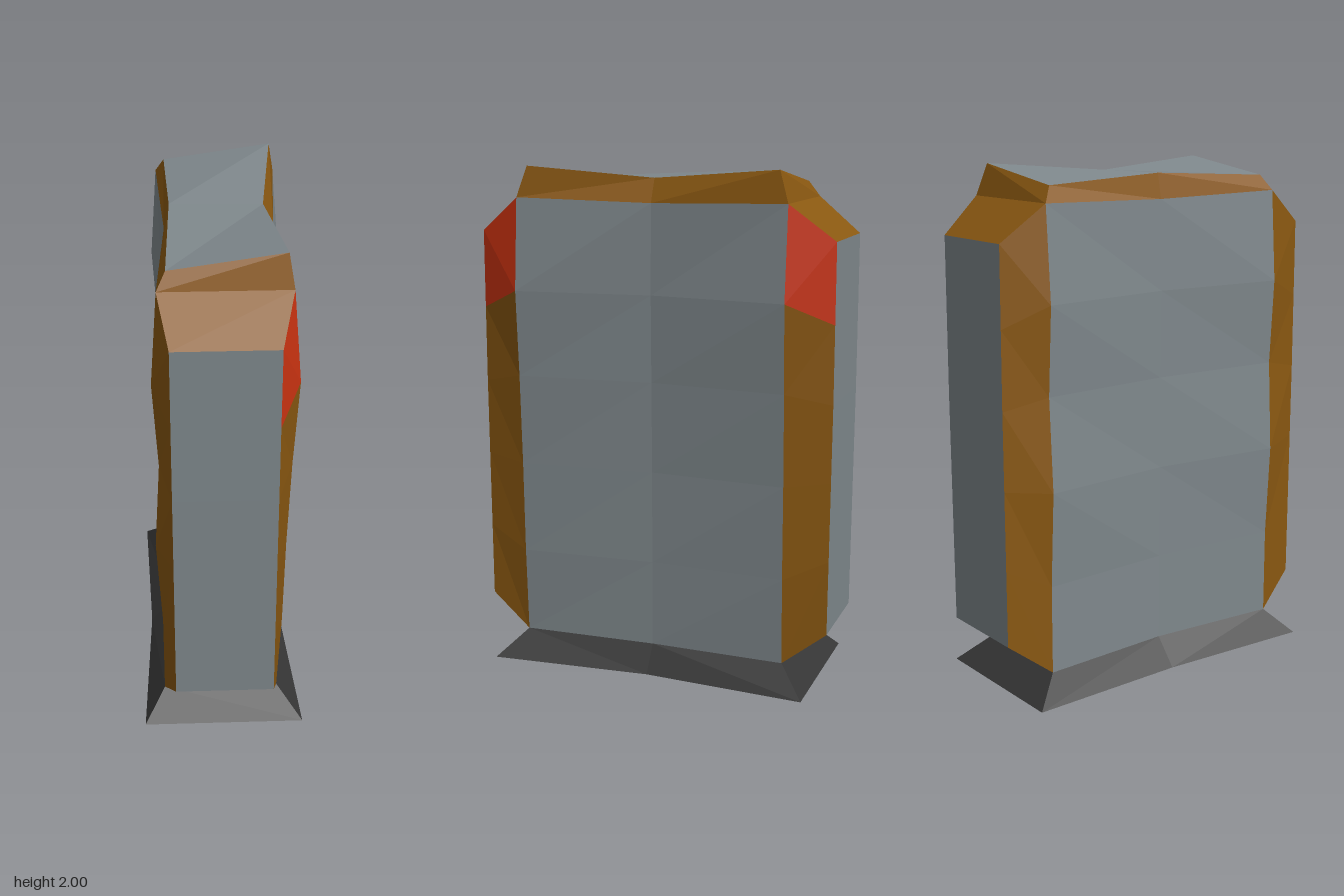
import * as THREE from 'three';

const material = (name, color) => {
  const m = new THREE.MeshStandardMaterial({ color, flatShading: true });
  m.name = name;
  return m;
};

// Faceted sheet through rows of points; every face is turned away from (0, centreY, 0)
function sheet(name, rows, mat, centreY = 1) {
  const out = [];
  const centre = new THREE.Vector3(0, centreY, 0);
  const triangle = (...p) => {
    const [a, b, c] = p.map((q) => new THREE.Vector3(...q));
    const normal = b.clone().sub(a).cross(c.clone().sub(a));
    const outward = a.clone().add(b).add(c).divideScalar(3).sub(centre);
    for (const v of normal.dot(outward) > 0 ? [a, b, c] : [a, c, b]) out.push(v.x, v.y, v.z);
  };
  for (let i = 0; i < rows.length - 1; i++) {
    for (let j = 0; j < rows[i].length - 1; j++) {
      const a = rows[i][j], b = rows[i][j + 1], c = rows[i + 1][j + 1], d = rows[i + 1][j];
      triangle(a, b, c);
      triangle(a, c, d);
    }
  }
  const geo = new THREE.BufferGeometry();
  geo.setAttribute('position', new THREE.Float32BufferAttribute(out, 3));
  geo.computeVertexNormals();
  const mesh = new THREE.Mesh(geo, mat);
  mesh.name = name;
  return mesh;
}

export function createModel() {
  const stone = material('grey stone', 0x7f888c);
  const trim = material('brown edge', 0x8a5811);
  const red = material('red marker', 0xcc3311);
  const dark = material('dark base', 0x363636);
  const group = new THREE.Group();
  group.name = 'slab';

  // Uneven side profiles: heights, then x of the left (+x) and right (-x) faces
  const innerY = [0.105, 0.45, 0.82, 1.18, 1.52, 1.88];
  const outerY = [0.235, 0.53, 0.84, 1.14, 1.44, 1.745];
  const sides = {
    left: { s: 1, x: [0.215, 0.23, 0.237, 0.25, 0.27, 0.24], waist: [0.2, 0.2, 0.2, 0.205, 0.21, 0.205],
      top: [0.22, 2.0], topMid: [0.165, 1.96], foot: 0.27 },
    right: { s: -1, x: [0.235, 0.235, 0.255, 0.235, 0.255, 0.23], waist: [0.2, 0.2, 0.205, 0.2, 0.205, 0.2],
      top: [0.197, 1.94], topMid: [0.18, 1.965], foot: 0.29 },
  };
  const innerZ = 0.543, outerZ = 0.716, topZ = 0.505, endX = 0.19;

  // Points on the left or right side
  const inner = (k, i, e) => [sides[k].s * sides[k].x[i], innerY[i], e * innerZ];
  const waist = (k, i) => [sides[k].s * sides[k].waist[i], innerY[i] - (i === 5 ? 0.012 : 0), 0];
  const outer = (k, i, e) => [sides[k].s * endX, outerY[i], e * (outerZ - Math.abs(i - 3) * 0.001)];
  const topCorner = (k, e) => [sides[k].s * sides[k].top[0], sides[k].top[1], e * topZ];
  const topMid = (k) => [sides[k].s * sides[k].topMid[0], sides[k].topMid[1], 0];
  const rim = (k) => [topCorner(k, 1), topMid(k), topCorner(k, -1)];
  const footRow = (k) => [1, 0, -1].map((e) => [sides[k].s * (e ? 0.315 : sides[k].foot), 0, e * 0.648]);
  const sideRow = (k, i) => [inner(k, i, 1), waist(k, i), inner(k, i, -1)];
  const index = [0, 1, 2, 3, 4, 5];

  for (const k of ['left', 'right']) {
    // Broad face pinched along its middle, top bevel and base flank
    group.add(sheet(k + 'Face', index.map((i) => sideRow(k, i)), stone));
    group.add(sheet(k + 'TopBevel', [sideRow(k, 5), rim(k)], trim));
    group.add(sheet(k + 'BaseFlank', [sideRow(k, 0), footRow(k)], dark, 0.02));

    // Upright corner bevels, with red markers at the top of the left pair
    for (const [end, e] of [['front', 1], ['back', -1]]) {
      const rows = index.map((i) => [inner(k, i, e), outer(k, i, e)]);
      const name = end + (k === 'left' ? 'Left' : 'Right');
      group.add(sheet(name + 'Bevel', rows.slice(0, 5), trim));
      group.add(sheet(name + (k === 'left' ? 'Marker' : 'UpperBevel'), rows.slice(4), k === 'left' ? red : trim));
    }
  }

  // Narrow end faces with bevels above and below, and base ends
  for (const [end, e] of [['front', 1], ['back', -1]]) {
    const across = (f) => ['right', 'left'].map(f);
    const outerRow = (i) => across((k) => outer(k, i, e));
    const innerRow = (i) => across((k) => inner(k, i, e));
    group.add(sheet(end + 'Face', index.map(outerRow), stone));
    group.add(sheet(end + 'TopBevel', [outerRow(5), innerRow(5), across((k) => topCorner(k, e))], trim));
    group.add(sheet(end + 'BottomBevel', [innerRow(0), outerRow(0)], trim));
    group.add(sheet(end + 'BaseFlank', [innerRow(0), across((k) => footRow(k)[e > 0 ? 0 : 2])], dark, 0.02));
  }

  // Sagging top and flat underside
  group.add(sheet('top', [rim('right'), rim('left')], stone));
  group.add(sheet('underside', [footRow('right'), footRow('left')], dark, 0.02));
  return group;
}
